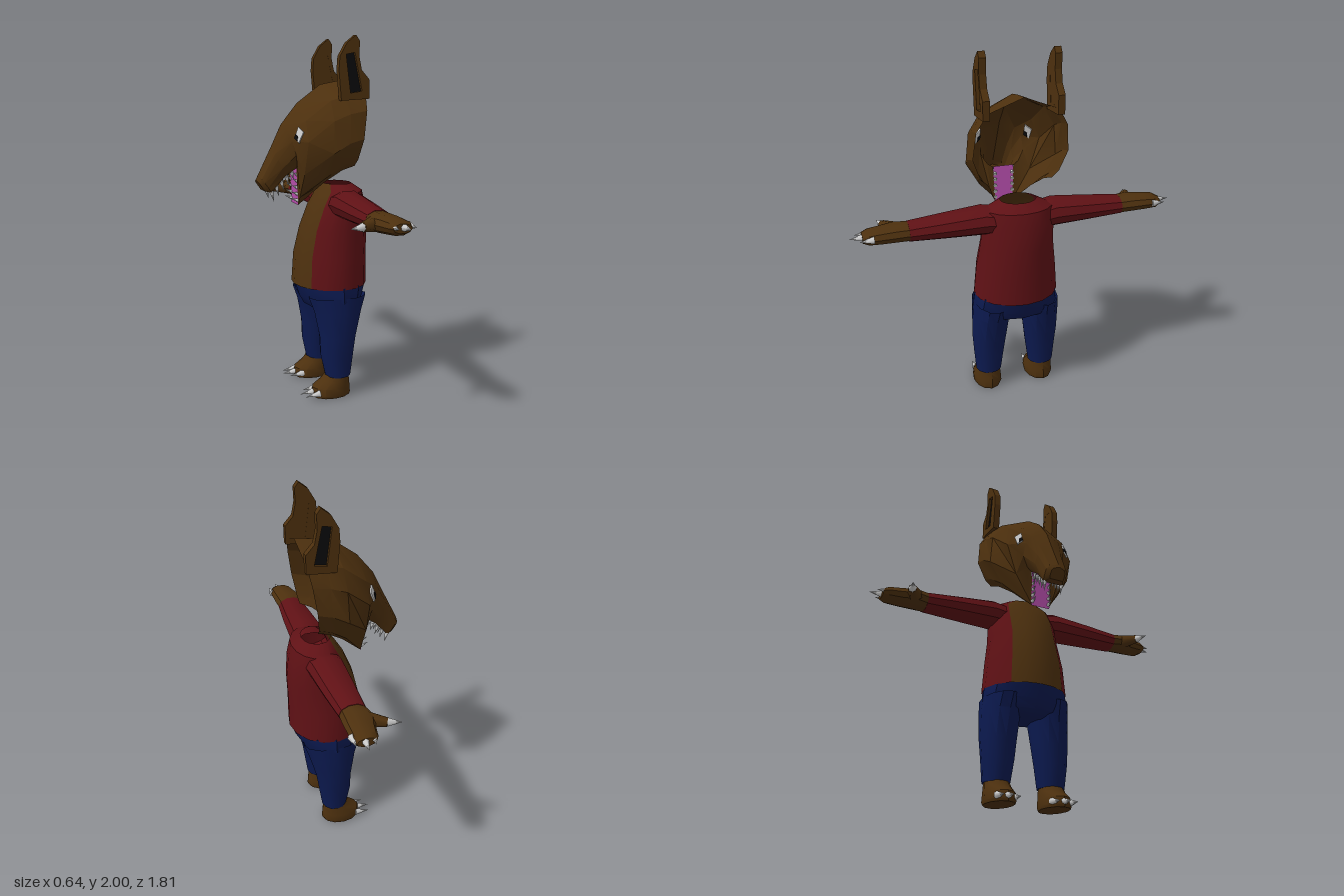
import * as THREE from 'three';
import { toCreasedNormals } from 'three/addons/utils/BufferGeometryUtils.js';

const V = (x, y, z) => new THREE.Vector3(x, y, z);
const mat = (color) => new THREE.MeshStandardMaterial({ color, side: THREE.DoubleSide });

export function createModel() {
  const root = new THREE.Group();
  const fur = mat(0x4d300e), red = mat(0x5f1115), blue = mat(0x0c1a50);
  const pink = mat(0xb84fae), black = mat(0x0a0a0c), white = mat(0xd8d8d8);

  const add = (name, geo, material, parent = root) => {
    const m = new THREE.Mesh(geo, material);
    m.name = name;
    parent.add(m);
    return m;
  };

  // Skin a row of point rings; the winding is turned so that faces look outward
  function loft(rings, { closed = true, start = false, end = false, crease = 0.6 } = {}) {
    const n = rings[0].length, pts = rings.flat(), idx = [];
    for (let i = 0; i < rings.length - 1; i++) {
      for (let j = 0; j < (closed ? n : n - 1); j++) {
        const k = (j + 1) % n, a = i * n + j, b = i * n + k, c = a + n, d = b + n;
        idx.push(a, b, d, a, d, c);
      }
    }
    const cap = (i, flip) => {
      const c = rings[i].reduce((s, p) => s.add(p), V(0, 0, 0)).divideScalar(n);
      pts.push(c);
      for (let j = 0; j < n; j++) {
        const a = i * n + j, b = i * n + (j + 1) % n;
        idx.push(pts.length - 1, flip ? b : a, flip ? a : b);
      }
    };
    if (start) cap(0, true);
    if (end) cap(rings.length - 1, false);
    const mid = new THREE.Box3().setFromPoints(pts).getCenter(V(0, 0, 0));
    let volume = 0;
    for (let i = 0; i < idx.length; i += 3) {
      const [a, b, c] = [0, 1, 2].map((k) => pts[idx[i + k]].clone().sub(mid));
      volume += a.dot(b.cross(c));
    }
    if (volume < 0) idx.reverse();
    const g = new THREE.BufferGeometry().setFromPoints(pts);
    g.setIndex(idx);
    return toCreasedNormals(g, crease);
  }

  // Level ring; angle 0 points to the face side (-x)
  const levelRing = (y, xc, rx, rz, zc = 0, from = 0, to = Math.PI * 2, n = 12, full = true) =>
    Array.from({ length: full ? n : n + 1 }, (_, i) => {
      const a = from + (to - from) * i / n;
      return V(xc - rx * Math.cos(a), y, zc + rz * Math.sin(a));
    });
  // Upright ring for arms, facing along z
  const armRing = (s) => ([z, xc, yc, rx, ry]) => Array.from({ length: 10 }, (_, i) => {
    const a = i / 10 * Math.PI * 2;
    return V(xc + rx * Math.cos(a), yc + ry * Math.sin(a), s * z);
  });
  // Tapered round piece between two points
  function spike(name, a, b, r, material, parent, tip = 0) {
    const g = new THREE.CylinderGeometry(tip, r, a.distanceTo(b), 7);
    const m = add(name, g, material, parent);
    m.position.copy(a).lerp(b, 0.5);
    m.quaternion.setFromUnitVectors(V(0, 1, 0), b.clone().sub(a).normalize());
  }

  // Head: hollow shell, open at the back and throat
  const head = new THREE.Group();
  head.name = 'head';
  root.add(head);
  const drop = [0, 0.16, 0.36, 0.68, 0.92, 1];
  const stations = [ // top x, y; bottom x, y; half widths down the side
    [-0.312, 1.255, -0.25, 1.165, [0, 0.05, 0.064, 0.066, 0.064, 0.058]],
    [-0.24, 1.40, -0.175, 1.25, [0, 0.06, 0.08, 0.085, 0.07, 0.058]],
    [-0.178, 1.53, -0.108, 1.295, [0, 0.085, 0.12, 0.125, 0.09, 0.06]],
    [-0.085, 1.645, -0.095, 1.09, [0, 0.155, 0.205, 0.15, 0.075, 0.05]],
    [0.05, 1.745, 0.03, 1.215, [0, 0.175, 0.24, 0.255, 0.18, 0.115]],
    [0.14, 1.762, 0.12, 1.285, [0, 0.185, 0.245, 0.262, 0.21, 0.16]],
    [0.25, 1.775, 0.185, 1.31, [0, 0.19, 0.245, 0.26, 0.217, 0.18]],
  ];
  const headPoint = ([tx, ty, bx, by, w], k, s) =>
    V(tx + (bx - tx) * drop[k], ty + (by - ty) * drop[k], s * w[k]);
  const shell = stations.map((st) => [
    ...[5, 4, 3, 2, 1].map((k) => headPoint(st, k, -1)),
    ...[0, 1, 2, 3, 4, 5].map((k) => headPoint(st, k, 1)),
  ]);
  add('headShell', loft(shell, { closed: false, crease: 0.45 }), fur, head);
  const tip = shell[0].map((p) => p.clone().lerp(V(-0.31, 1.205, 0), 0.35).add(V(-0.012, -0.006, 0)));
  add('noseTip', loft([shell[0], tip], { end: true }), fur, head);

  // Mouth lining: palate and inner jaw
  const lining = [[-0.25, 1.168], [-0.175, 1.253], [-0.108, 1.297], [-0.097, 1.09]]
    .map(([x, y]) => [V(x, y, -0.057), V(x, y, 0.057)]);
  add('mouthLining', loft(lining, { closed: false, crease: 0.2 }), pink, head);

  for (const s of [1, -1]) {
    // Teeth along the snout edge and the jaw edge
    for (let i = 0; i < 5; i++) {
      const t = i / 4, x = -0.25 + 0.115 * t, y = 1.175 + 0.1 * t;
      spike('upperTooth', V(x, y, s * 0.052), V(x + 0.015, y - 0.06 + 0.015 * t, s * 0.05), 0.012, white, head);
      const ly = 1.115 + 0.035 * i;
      spike('lowerTooth', V(-0.095, ly, s * 0.05), V(-0.14 + 0.004 * i, ly + 0.015, s * 0.048), 0.011, white, head);
    }
    // Eyes, set through the shell between brow and cheek
    const q = [[2, 1], [2, 2], [3, 1], [3, 2]].map(([i, k]) => headPoint(stations[i], k, s));
    const on = (u, v) => q[0].clone().lerp(q[1], v).lerp(q[2].clone().lerp(q[3], v), u);
    const normal = on(1, 0.5).sub(on(0, 0.5)).cross(on(0.5, 1).sub(on(0.5, 0))).normalize();
    const patch = (name, uv, d, material) => add(name, loft([-d, d].map((o) =>
      uv.map(([u, v]) => on(u, v).addScaledVector(normal, o))), { start: true, end: true }), material, head);
    patch('eye', [[0.25, 0.75], [0.6, 0.1], [0.82, 0.5], [0.42, 1.1]], 0.008, white);
    patch('pupil', [[0.25, 0.75], [0.4, 0.45], [0.5, 0.65], [0.36, 0.98]], 0.011, black);

    // Ear: thin upright plate with a dark recess on its outer side
    const ear = new THREE.Shape([[0.09, 1.66], [0.075, 1.82], [0.08, 1.89], [0.12, 1.96], [0.17, 2.0],
      [0.192, 1.97], [0.19, 1.89], [0.205, 1.82], [0.25, 1.77], [0.25, 1.67]].map(([x, y]) => new THREE.Vector2(x, y)));
    const inner = [[0.115, 1.90], [0.165, 1.91], [0.208, 1.71], [0.142, 1.70]].map(([x, y]) => new THREE.Vector2(x, y));
    ear.holes.push(new THREE.Path(inner));
    add('ear', new THREE.ExtrudeGeometry(ear, { depth: 0.037, bevelEnabled: false }), fur, head)
      .position.z = s > 0 ? 0.18 : -0.217;
    add('innerEar', new THREE.ShapeGeometry(new THREE.Shape(inner)), black, head).position.z = s * 0.2;
    const back = add('earBack', new THREE.ShapeGeometry(new THREE.Shape(inner)), fur, head);
    back.position.z = s * 0.181;
  }

  // Torso: jacket open over a furry chest
  const torso = [[0.63, 0.105, 0.21, 0.24], [0.8, 0.11, 0.205, 0.225], [0.95, 0.13, 0.19, 0.203],
    [1.08, 0.15, 0.157, 0.2], [1.16, 0.165, 0.122, 0.185], [1.2, 0.15, 0.08, 0.1]];
  const gap = 0.7;
  add('jacket', loft(torso.map(([y, x, rx, rz]) =>
    levelRing(y, x, rx, rz, 0, gap, Math.PI * 2 - gap, 12, false)), { closed: false }), red);
  add('chest', loft(torso.map(([y, x, rx, rz]) =>
    levelRing(y, x, rx, rz, 0, -gap, gap, 4, false)), { closed: false }), fur);

  // Trouser seat
  const seat = [[0.64, 0.105, 0.205, 0.238], [0.56, 0.105, 0.178, 0.25], [0.51, 0.105, 0.15, 0.235], [0.48, 0.105, 0.1, 0.12]];
  add('trouserSeat', loft(seat.map((r) => levelRing(...r)), { start: true, end: true }), blue);

  for (const s of [1, -1]) {
    const side = s > 0 ? 'front' : 'back';
    const arm = new THREE.Group(), leg = new THREE.Group();
    arm.name = 'arm';
    leg.name = 'leg';
    root.add(arm, leg);

    // Sleeve and hand
    const sleeve = [[0.1, 0.15, 1.09, 0.1, 0.07], [0.2, 0.145, 1.1, 0.1, 0.08], [0.4, 0.14, 1.092, 0.09, 0.067], [0.6, 0.135, 1.084, 0.075, 0.053]];
    add('sleeve', loft(sleeve.map(armRing(s)), { end: true }), red, arm);
    const hand = [[0.59, 0.135, 1.084, 0.072, 0.05], [0.67, 0.128, 1.086, 0.085, 0.05], [0.74, 0.14, 1.086, 0.073, 0.047],
      [0.81, 0.147, 1.086, 0.066, 0.04], [0.84, 0.148, 1.086, 0.05, 0.024]];
    add('hand', loft(hand.map(armRing(s)), { end: true }), fur, arm);
    spike('thumb', V(0.09, 1.085, s * 0.665), V(-0.002, 1.08, s * 0.715), 0.042, fur, arm, 0.024);
    spike('thumbClaw', V(0.0, 1.08, s * 0.713), V(-0.072, 1.078, s * 0.735), 0.023, white, arm);
    for (const [x, z] of [[0.108, 0.875], [0.155, 0.905], [0.205, 0.86]]) {
      spike('fingerClaw', V(x, 1.09, s * (z - 0.075)), V(x + 0.004, 1.09, s * z), 0.021, white, arm);
    }

    // Trouser leg and foot
    const trouser = [[0.58, 0.105, 0.17, 0.105, 0.14], [0.5, 0.105, 0.14, 0.106, 0.146], [0.35, 0.1, 0.105, 0.1, 0.155],
      [0.24, 0.095, 0.095, 0.088, 0.158], [0.12, 0.1, 0.073, 0.075, 0.161]];
    add(side + 'Trouser', loft(trouser.map(([y, x, rx, rz, z]) => levelRing(y, x, rx, rz, s * z)), { end: true }), blue, leg);
    const foot = [[0.14, 0.1, 0.063, 0.066], [0.1, 0.087, 0.08, 0.072], [0.06, 0.062, 0.112, 0.08], [0.02, 0.06, 0.117, 0.083], [0.005, 0.06, 0.11, 0.078]];
    add(side + 'Foot', loft(foot.map(([y, x, rx, rz]) => levelRing(y, x, rx, rz, s * 0.16)), { end: true }), fur, leg);
    for (const [z, x] of [[0.11, -0.095], [0.16, -0.122], [0.208, -0.108]]) {
      spike('toeClaw', V(x + 0.085, 0.035, s * z), V(x, 0.026, s * z), 0.02, white, leg);
    }
  }
  return root;
}
